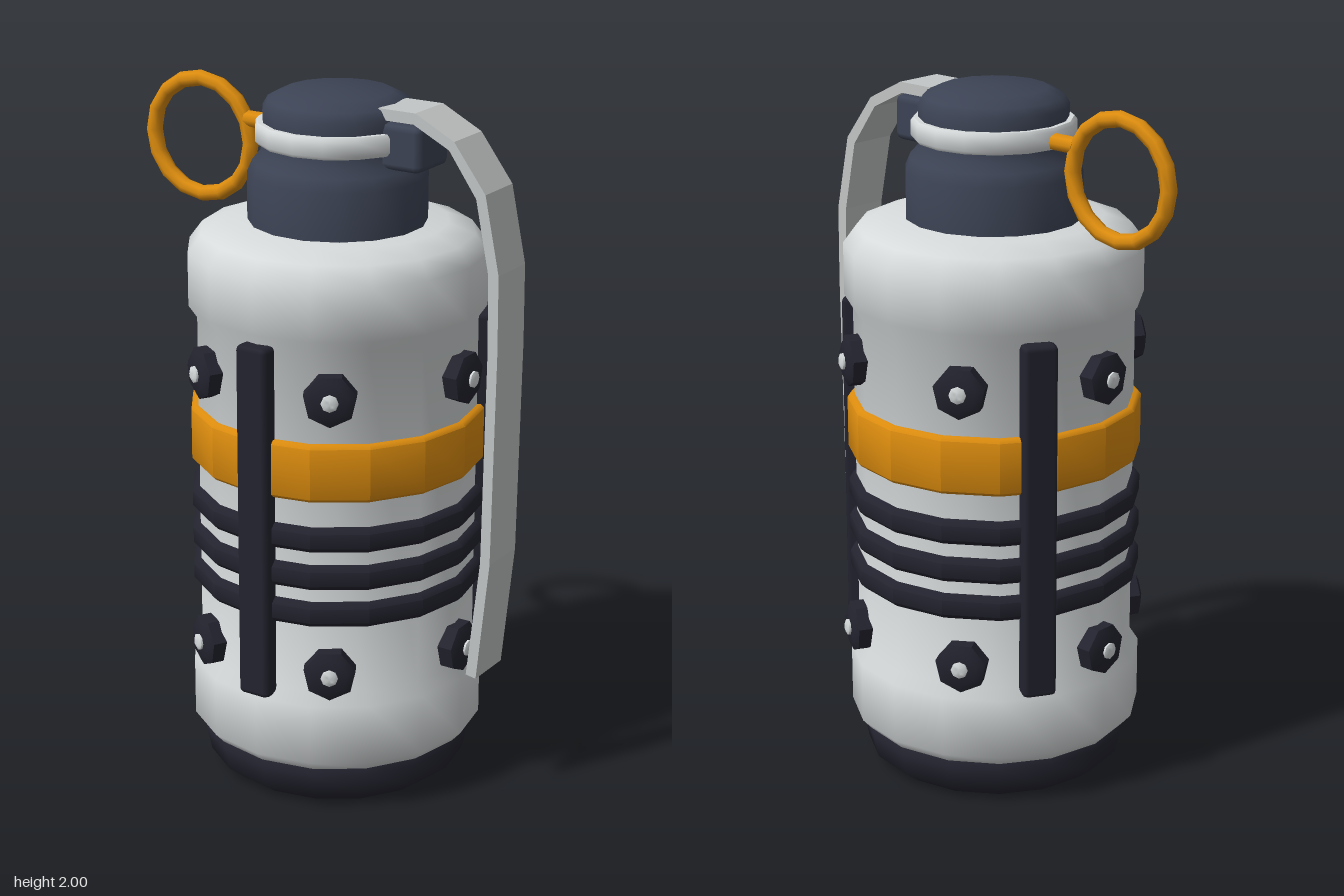
import * as THREE from 'three';
import { toCreasedNormals } from 'three/addons/utils/BufferGeometryUtils.js';
import { RoundedBoxGeometry } from 'three/addons/geometries/RoundedBoxGeometry.js';

const mat = (name, color) => {
  const m = new THREE.MeshStandardMaterial({ color });
  m.name = name;
  return m;
};

export function createModel() {
  const shell = mat('pale shell', 0xd6dadb);
  const steel = mat('lever grey', 0xc3c6c6);
  const dark = mat('dark rubber', 0x23232f);
  const slate = mat('slate', 0x3c4354);
  const orange = mat('orange', 0xdc8c0e);

  const model = new THREE.Group();
  model.name = 'canister';
  // Everything sits on the canister's axis, slightly off the centre
  const core = new THREE.Group();
  core.name = 'canisterCore';
  core.position.set(0.048, 0, -0.01);
  model.add(core);

  const add = (name, geometry, material, parent = core) => {
    const mesh = new THREE.Mesh(geometry, material);
    mesh.name = name;
    parent.add(mesh);
    return mesh;
  };
  // Profile is a list of [radius, height], from bottom to top
  const turned = (profile, sides = 16, phase = 0) => toCreasedNormals(
    new THREE.LatheGeometry(profile.map(([r, y]) => new THREE.Vector2(r, y)), sides, phase), 0.85);
  const hoop = (y0, y1, r, b) => turned([
    [0.38, y0], [r - b, y0], [r, y0 + b], [r, y1 - b], [r - b, y1], [0.38, y1]]);

  // Body with a thicker collar at both ends
  add('body', turned([
    [0, 0.11], [0.37, 0.115], [0.395, 0.13], [0.422, 0.16], [0.422, 0.335], [0.398, 0.37],
    [0.398, 1.37], [0.422, 1.405], [0.422, 1.555], [0.385, 1.605], [0.31, 1.632], [0, 1.632]]), shell);
  add('base', turned([
    [0, 0], [0.33, 0], [0.375, 0.035], [0.39, 0.105], [0.38, 0.122], [0, 0.122]]), dark);

  // Neck, collar ring and cap
  add('neck', turned([
    [0.25, 1.62], [0.25, 1.765], [0.235, 1.80], [0.212, 1.825], [0.208, 1.87]], 16, Math.PI / 16), slate);
  add('neckRing', turned([
    [0.18, 1.85], [0.222, 1.85], [0.23, 1.86], [0.23, 1.9], [0.222, 1.91], [0.18, 1.91]]), shell);
  add('cap', turned([
    [0.208, 1.9], [0.21, 1.945], [0.195, 1.97], [0.15, 1.992], [0, 1.997]]), slate);

  // Hoops around the body
  add('orangeBand', hoop(0.945, 1.11, 0.419, 0.01), orange);
  for (const y of [0.61, 0.72, 0.832]) add('gripHoop', hoop(y - 0.036, y + 0.036, 0.419, 0.015), dark);

  // Three upright bars
  for (let i = 0; i < 3; i++) {
    const holder = new THREE.Group();
    holder.name = 'barHolder';
    holder.rotation.y = i * Math.PI * 2 / 3;
    core.add(holder);
    add('bar', new RoundedBoxGeometry(0.098, 1.03, 0.06, 1, 0.015), dark, holder)
      .position.set(0, 0.86, 0.407);
  }

  // Two rows of six bolts with pale pins
  const boltGeometry = turned([[0.074, -0.03], [0.074, 0.018], [0.05, 0.03], [0, 0.03]], 7);
  boltGeometry.rotateX(Math.PI / 2);
  const pinGeometry = turned([[0.024, 0], [0.024, 0.012], [0.012, 0.018], [0, 0.018]], 8);
  pinGeometry.rotateX(Math.PI / 2);
  for (const y of [0.437, 1.243]) {
    for (let i = 0; i < 6; i++) {
      const bolt = new THREE.Group();
      bolt.name = 'bolt';
      const a = (i + 0.5) * Math.PI / 3;
      bolt.rotation.y = a;
      bolt.position.set(Math.sin(a) * 0.41, y, Math.cos(a) * 0.41);
      core.add(bolt);
      add('boltHead', boltGeometry, dark, bolt);
      add('boltPin', pinGeometry, shell, bolt).position.z = 0.024;
    }
  }

  // Bent lever, outer edge down then inner edge back up
  const leverShape = new THREE.Shape([
    [0.22, 1.976], [0.335, 1.976], [0.455, 1.915], [0.553, 1.785], [0.598, 1.57], [0.6, 1.35],
    [0.592, 0.74], [0.556, 0.385],
    [0.524, 0.39], [0.562, 0.74], [0.57, 1.35], [0.566, 1.57], [0.525, 1.77], [0.44, 1.89],
    [0.33, 1.945], [0.22, 1.945]].map(([x, y]) => new THREE.Vector2(x, y)));
  const leverGeometry = new THREE.ExtrudeGeometry(leverShape, { depth: 0.145, bevelEnabled: false });
  leverGeometry.translate(0, 0, -0.085);
  add('lever', leverGeometry, steel, model);
  add('leverBlock', new RoundedBoxGeometry(0.17, 0.13, 0.16, 1, 0.02), slate, model)
    .position.set(0.27, 1.875, -0.012);

  // Pull ring and its pin
  add('pullRing', new THREE.TorusGeometry(0.167, 0.023, 8, 16), orange, model)
    .position.set(-0.41, 1.803, -0.012);
  const pin = add('pullPin', new THREE.CylinderGeometry(0.024, 0.024, 0.14, 8), orange, model);
  pin.rotation.z = Math.PI / 2;
  pin.position.set(-0.185, 1.873, -0.012);

  return model;
}
